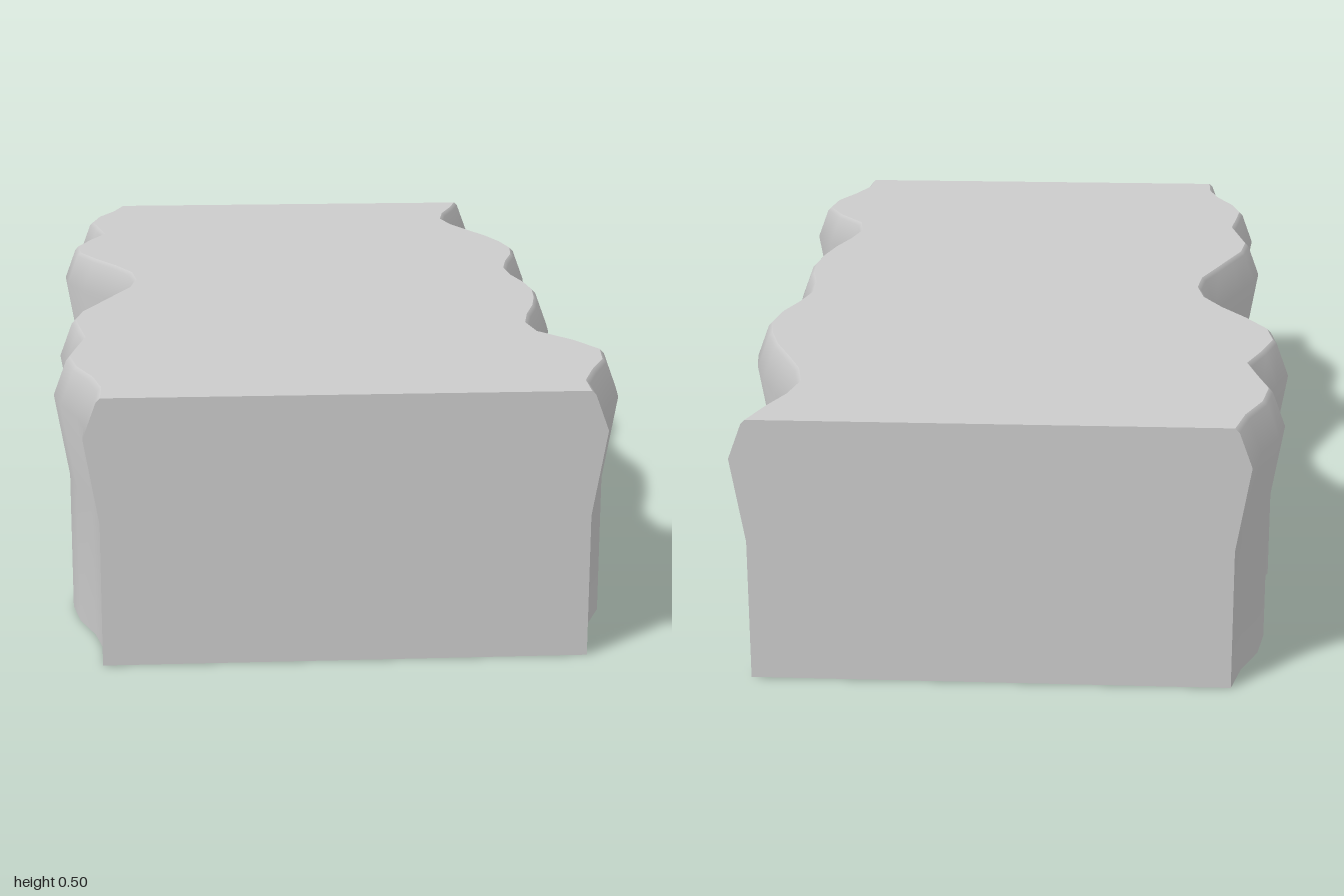
import * as THREE from 'three';

// Wavy outlines at the widest level, sampled evenly from back (z = -1) to front (z = 1)
const LEFT = [0.481, 0.458, 0.429, 0.415, 0.431, 0.463, 0.497, 0.521, 0.534, 0.524, 0.5, 0.484, 0.489,
  0.505, 0.511, 0.503, 0.487, 0.463, 0.447, 0.458, 0.516, 0.555, 0.545, 0.511, 0.484, 0.481];
const RIGHT = [0.463, 0.484, 0.519, 0.534, 0.516, 0.5, 0.532, 0.558, 0.55, 0.511, 0.463, 0.426, 0.415,
  0.426, 0.458, 0.489, 0.521, 0.534, 0.521, 0.508, 0.521, 0.532, 0.516, 0.484, 0.466, 0.466];
// Wall profile from bottom to top: [inset from the widest level, y]
const PROFILE = [[0.027, 0], [0.027, 0.27], [0, 0.43], [0.025, 0.497], [0.033, 0.505]];

const material = new THREE.MeshStandardMaterial({ color: 0xcccccc, side: THREE.DoubleSide });

// Smooth surface through rows of points; faces point along (column step) x (row step)
function surface(name, rows) {
  const n = rows[0].length;
  const index = [];
  for (let i = 0; i < rows.length - 1; i++) {
    for (let j = 0; j < n - 1; j++) {
      const a = i * n + j;
      index.push(a, a + 1, a + n, a + 1, a + n + 1, a + n);
    }
  }
  const geometry = new THREE.BufferGeometry();
  geometry.setAttribute('position', new THREE.Float32BufferAttribute(rows.flat(2), 3));
  geometry.setIndex(index);
  geometry.computeVertexNormals();
  const mesh = new THREE.Mesh(geometry, material);
  mesh.name = name;
  return mesh;
}

// Rows run along z, each row climbs the profile
function wallRows(outline, side) {
  return outline.map((x, i) =>
    PROFILE.map(([inset, y]) => [side * (x - inset), y, -1 + (2 * i) / (outline.length - 1)]));
}

export function createModel() {
  const group = new THREE.Group();
  group.name = 'wavyBlock';
  const left = wallRows(LEFT, 1);
  const right = wallRows(RIGHT, -1);
  const last = LEFT.length - 1;
  const top = PROFILE.length - 1;

  // Wavy side walls with an overhanging lip
  group.add(surface('leftWall', left));
  group.add(surface('rightWall', [...right].reverse()));

  // Flat top between the two lips
  group.add(surface('top', [right.map((row) => row[top]), left.map((row) => row[top])]));

  // Flat ends; the underside stays open
  group.add(surface('frontEnd', PROFILE.map((_, j) => [right[last][j], left[last][j]])));
  group.add(surface('backEnd', PROFILE.map((_, j) => [left[0][j], right[0][j]])));

  return group;
}
